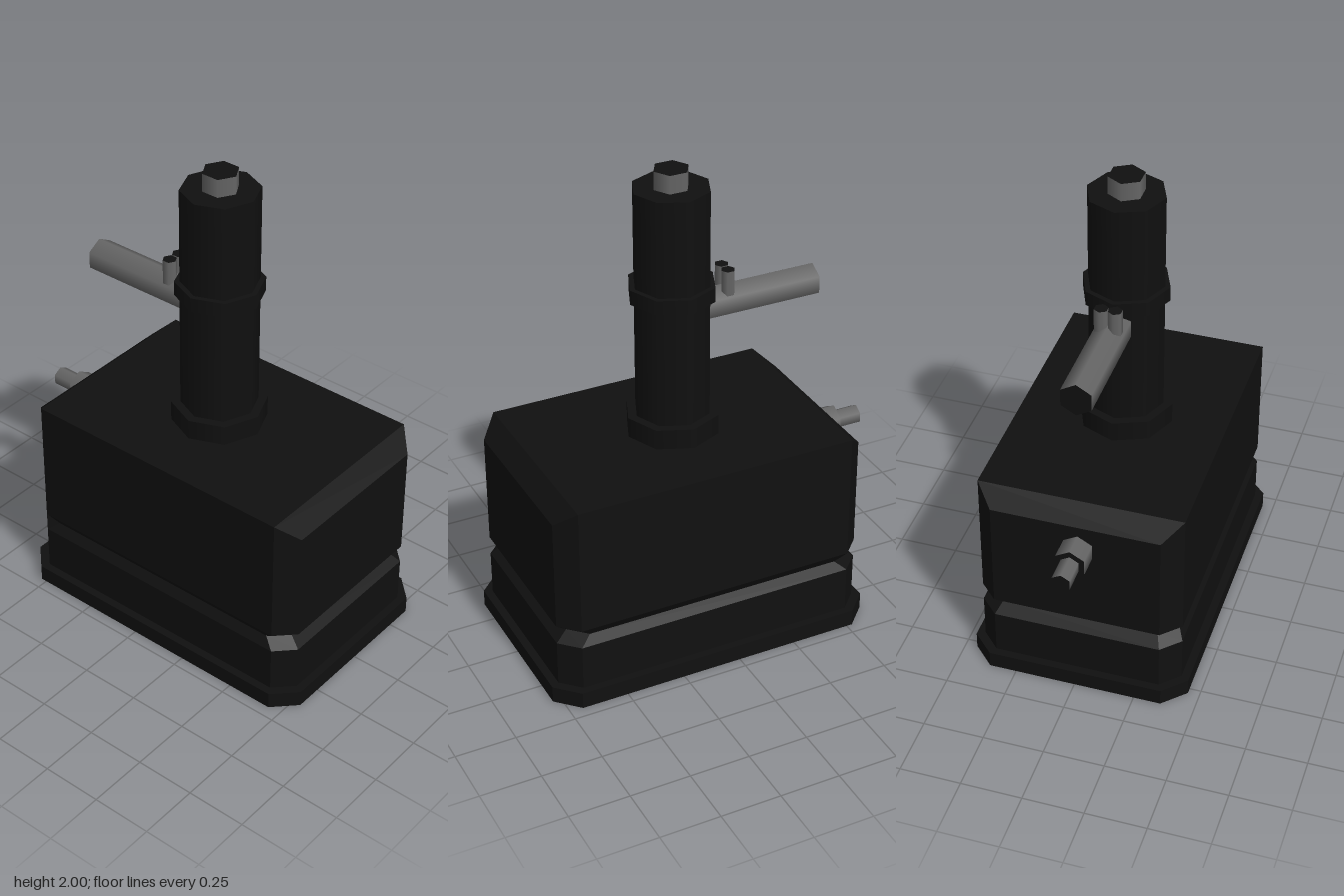
import * as THREE from 'three';

const black = new THREE.MeshStandardMaterial({ color: 0x101010 });
const blackShell = new THREE.MeshStandardMaterial({ color: 0x101010, flatShading: true, side: THREE.DoubleSide });
const grey = new THREE.MeshStandardMaterial({ color: 0x666666 });

// Rectangle with cut corners: half sizes hx, hz and corner cuts cx, cz
function section([y, hx, hz, cx, cz]) {
  return [
    [hx, hz - cz], [hx - cx, hz], [-hx + cx, hz], [-hx, hz - cz],
    [-hx, -hz + cz], [-hx + cx, -hz], [hx - cx, -hz], [hx, -hz + cz],
  ].map(([x, z]) => [x, y, z]);
}

// Skin through stacked sections, closed at the top and open below
function loft(rows) {
  const rings = rows.map(section);
  const pos = [];
  const n = 8;
  for (let r = 0; r < rings.length - 1; r++) {
    for (let i = 0; i < n; i++) {
      const j = (i + 1) % n;
      const a = rings[r][i], b = rings[r][j], c = rings[r + 1][j], d = rings[r + 1][i];
      pos.push(...a, ...c, ...b, ...a, ...d, ...c);
    }
  }
  const top = rings[rings.length - 1];
  for (let i = 1; i < n - 1; i++) pos.push(...top[0], ...top[i + 1], ...top[i]);
  const geo = new THREE.BufferGeometry();
  geo.setAttribute('position', new THREE.Float32BufferAttribute(pos, 3));
  geo.computeVertexNormals();
  return geo;
}

export function createModel() {
  const model = new THREE.Group();

  // Upright black eight-sided column parts
  function post(name, radius, y0, y1) {
    const mesh = new THREE.Mesh(new THREE.CylinderGeometry(radius, radius, y1 - y0, 8), black);
    mesh.name = name;
    mesh.position.set(0.077, (y0 + y1) / 2, 0.003);
    model.add(mesh);
  }

  // Grey six-sided rods with black ends
  function rod(name, radius, length, x, y, z, lying) {
    const geo = new THREE.CylinderGeometry(radius, radius, length, 6, 1, false, Math.PI / 2);
    const mesh = new THREE.Mesh(geo, [grey, black, black]);
    mesh.name = name;
    mesh.position.set(x, y, z);
    if (lying) mesh.rotation.z = Math.PI / 2;
    model.add(mesh);
  }

  // Hollow housing with foot flange, waist groove and bevelled ends
  const housing = new THREE.Mesh(loft([
    [0, 0.7, 0.452, 0.09, 0.09],
    [0.07, 0.7, 0.452, 0.09, 0.09],
    [0.07, 0.667, 0.419, 0.075, 0.075],
    [0.262, 0.667, 0.419, 0.075, 0.075],
    [0.3, 0.617, 0.393, 0.07, 0.07],
    [0.342, 0.667, 0.419, 0.075, 0.075],
    [0.812, 0.667, 0.419, 0.075, 0.075],
    [0.882, 0.592, 0.419, 0, 0],
  ]), blackShell);
  housing.name = 'housing';
  housing.position.x = 0.085;
  model.add(housing);

  // Column
  post('columnCollar', 0.193, 0.88, 0.967);
  post('column', 0.156, 0.88, 1.925);
  post('columnRing', 0.177, 1.467, 1.528);
  rod('columnTip', 0.073, 0.1, 0.077, 1.95, 0.003, false);

  // Side handle with a pair of pins
  rod('handle', 0.07, 0.515, -0.287, 1.397, 0.002, true);
  for (const side of [-1, 1]) {
    rod(side < 0 ? 'backPin' : 'frontPin', 0.029, 0.12, -0.152, 1.48, 0.002 + side * 0.028, false);
  }

  // Stepped spout on the end of the housing
  rod('spoutBase', 0.067, 0.12, -0.617, 0.702, 0.012, true);
  rod('spoutTip', 0.041, 0.13, -0.72, 0.702, 0.012, true);

  return model;
}
